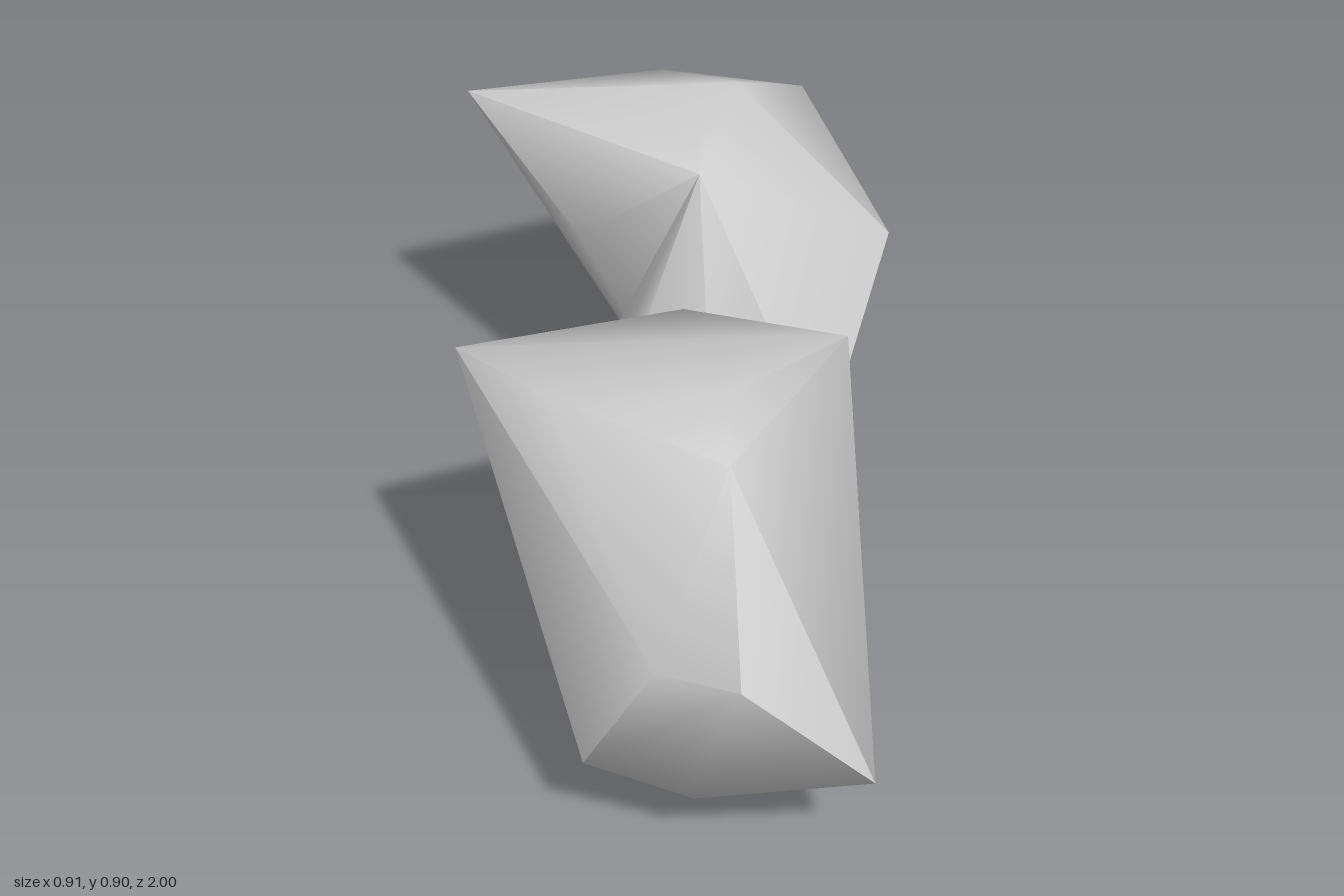
import * as THREE from 'three';
import { ConvexGeometry } from 'three/addons/geometries/ConvexGeometry.js';
import { toCreasedNormals } from 'three/addons/utils/BufferGeometryUtils.js';

const material = new THREE.MeshStandardMaterial({ color: 0xcccccc });

// Corners that both boulders share, in the rear boulder's position
const corner = {
  leftSpike: [-0.455, 0.8, -0.68],
  rightShoulder: [0.285, 0.76, -0.74],
  crest: [0.04, 0.87, -0.41],
  brow: [0.03, 0.82, -0.26],
  nose: [0.035, 0.53, 0],
  cheek: [-0.11, 0.53, -0.06],
  frontRight: [0.28, 0.27, -0.04],
  frontLeft: [-0.24, 0.24, -0.15],
  lowLeft: [-0.25, 0.2, -0.31],
  chin: [-0.04, 0.18, -0.11],
  foot: [0.06, 0, -0.4],
  backTop: [-0.02, 0.72, -0.91],
  backRight: [0.2, 0.66, -0.87],
  tail: [0.11, 0.46, -1],
};

// A stone is a hull of a few corners, shaded smoothly except at strong edges
function stone(name, names, extra) {
  const points = [...names.map((n) => corner[n]), ...extra]
    .map((p) => new THREE.Vector3(...p));
  const geometry = toCreasedNormals(new ConvexGeometry(points), 1.2);
  const mesh = new THREE.Mesh(geometry, material);
  mesh.name = name;
  return mesh;
}

export function createModel() {
  const model = new THREE.Group();
  model.name = 'boulders';

  // Front boulder: one clean wedge, flat underneath
  const front = stone('frontBoulder', Object.keys(corner), [
    [0.07, 0.84, -0.63],
    [-0.36, 0.73, -0.515],
    [-0.28, 0.82, -0.48],
    [-0.24, 0.6, -0.88],
  ]);
  front.position.z = 1;
  model.add(front);

  // Rear boulder: overhanging body with a base that juts forward below it
  const rear = new THREE.Group();
  rear.name = 'rearBoulder';
  rear.add(stone('rearBody', [
    'leftSpike', 'rightShoulder', 'crest', 'brow', 'frontRight',
    'foot', 'backTop', 'backRight', 'tail',
  ], [
    [0.125, 0.9, -0.5],
    [0.455, 0.55, -0.45],
    [0.15, 0.07, -0.65],
    [-0.14, 0.47, -0.97],
    [-0.22, 0.6, -0.39],
  ]));
  rear.add(stone('rearBase', [
    'brow', 'nose', 'cheek', 'frontRight', 'frontLeft', 'lowLeft', 'chin', 'foot',
  ], [
    [-0.18, 0.11, -0.31],
    [-0.17, 0.11, -0.12],
    [-0.06, 0.07, -0.17],
    [0.25, 0.04, -0.28],
    [0.1, 0.45, -0.45],
  ]));
  model.add(rear);

  return model;
}
